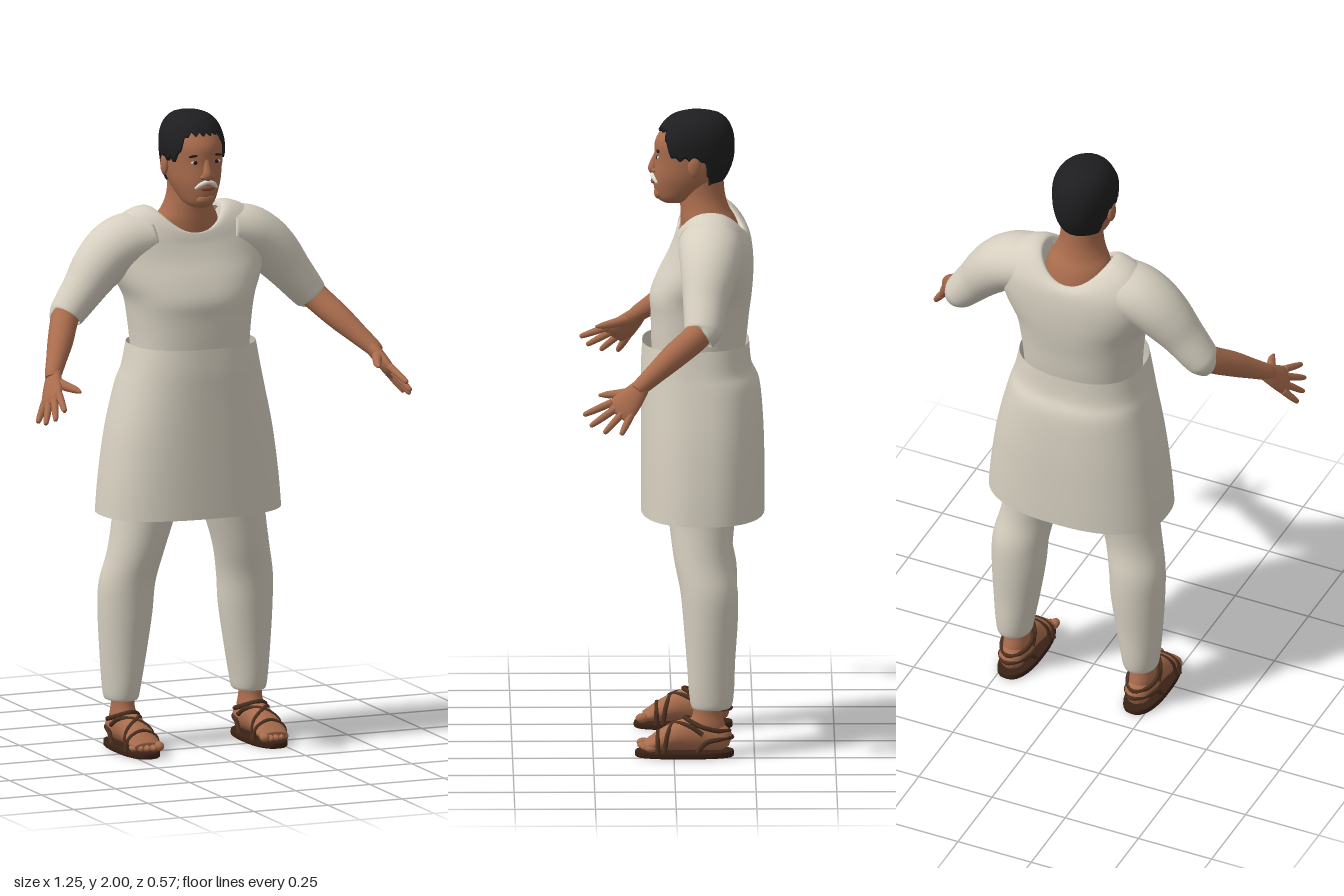
import * as THREE from 'three';

const mat = (name, color, side = THREE.FrontSide) => {
  const m = new THREE.MeshStandardMaterial({ color, side });
  m.name = name;
  return m;
};

// Catmull-Rom interpolation of rows of numbers
function smooth(rows, sub = 5) {
  const out = [];
  const at = i => rows[Math.min(Math.max(i, 0), rows.length - 1)];
  for (let i = 0; i < rows.length - 1; i++) {
    for (let k = 0; k < sub; k++) {
      const t = k / sub, t2 = t * t, t3 = t2 * t;
      out.push(at(i).map((b, c) => {
        const a = at(i - 1)[c], d = at(i + 1)[c], e = at(i + 2)[c];
        return 0.5 * (2 * b + (d - a) * t + (2 * a - 5 * b + 4 * d - e) * t2 + (3 * b - a - 3 * d + e) * t3);
      }));
    }
  }
  out.push(rows[rows.length - 1]);
  return out;
}

// Skin a list of closed rings, optionally capping both ends
function loft(rings, cap = true) {
  const n = rings[0].length, pos = [], idx = [];
  rings.forEach(r => r.forEach(p => pos.push(p.x, p.y, p.z)));
  for (let i = 0; i < rings.length - 1; i++) {
    for (let j = 0; j < n; j++) {
      const a = i * n + j, b = i * n + (j + 1) % n;
      idx.push(a, b, b + n, a, b + n, a + n);
    }
  }
  if (cap) {
    [0, rings.length - 1].forEach((i, end) => {
      const c = new THREE.Vector3();
      rings[i].forEach(p => c.addScaledVector(p, 1 / n));
      const k = pos.length / 3;
      pos.push(c.x, c.y, c.z);
      for (let j = 0; j < n; j++) {
        const a = i * n + j, b = i * n + (j + 1) % n;
        if (end) idx.push(a, b, k); else idx.push(b, a, k);
      }
    });
  }
  const g = new THREE.BufferGeometry();
  g.setAttribute('position', new THREE.Float32BufferAttribute(pos, 3));
  g.setIndex(idx);
  g.computeVertexNormals();
  return g;
}

// Horizontal ring: row = [y, centreX, halfWidth, frontZ, backZ, lift at the sides]
function ringPoint([y, cx, rx, zf, zb, lift = 0], a, p = 1) {
  const f = v => Math.sign(v) * Math.abs(v) ** p;
  const s = f(Math.sin(a)), c = f(Math.cos(a));
  return new THREE.Vector3(cx + rx * s, y + lift * s * s, (zf + zb) / 2 + c * (zf - zb) / 2);
}
const angles = n => Array.from({ length: n }, (_, i) => i / n * Math.PI * 2);
const stack = (rows, p = 1, cap = true, n = 48) =>
  loft(smooth(rows).map(r => angles(n).map(a => ringPoint(r, a, p))), cap);

// Limb along a path: row = [x, y, z, radius, second radius], mirrored by s
function limb(rows, s = 1, ref = [0, 0, 1], n = 20) {
  const up = new THREE.Vector3(ref[0] * s, ref[1], ref[2]);
  const sm = smooth(rows.map(r => [r[0] * s, r[1], r[2], r[3], r[4] ?? r[3]]));
  const pts = sm.map(r => new THREE.Vector3(r[0], r[1], r[2]));
  return loft(sm.map((r, i) => {
    const t = pts[Math.min(i + 1, pts.length - 1)].clone().sub(pts[Math.max(i - 1, 0)]).normalize();
    const u = t.clone().cross(up).normalize(), v = t.clone().cross(u);
    return angles(n).map(a => pts[i].clone().addScaledVector(u, Math.cos(a) * r[3]).addScaledVector(v, Math.sin(a) * r[4]));
  }));
}

// Head profile, chin to crown
const headRows = smooth([
  [1.71, 0, 0.025, 0.03, -0.03], [1.725, 0, 0.047, 0.05, -0.075], [1.76, 0, 0.066, 0.06, -0.13],
  [1.80, 0, 0.08, 0.062, -0.162], [1.85, 0, 0.087, 0.058, -0.18], [1.90, 0, 0.09, 0.057, -0.182],
  [1.935, 0, 0.085, 0.04, -0.176], [1.965, 0, 0.07, 0.018, -0.16], [1.984, 0, 0.046, -0.012, -0.134],
  [1.992, 0, 0.014, -0.055, -0.09]]);
function headAt(y) {
  let i = headRows.findIndex(r => r[0] >= y);
  if (i < 0) i = headRows.length - 1;
  if (i < 1) i = 1;
  const a = headRows[i - 1], b = headRows[i], t = Math.min(1, (y - a[0]) / (b[0] - a[0]));
  return a.map((v, k) => v + (b[k] - v) * t);
}
function faceZ(x, y) {
  const [, , rx, zf, zb] = headAt(y);
  return (zf + zb) / 2 + (zf - zb) / 2 * Math.sqrt(1 - (x / rx) ** 2);
}

export function createModel() {
  const model = new THREE.Group();
  model.name = 'standingMan';
  const linen = mat('linen', 0xd6cfc0, THREE.DoubleSide), skin = mat('skin', 0xa96c4d);
  const hairMat = mat('hair', 0x1e1e20, THREE.DoubleSide), leather = mat('strapLeather', 0x4a2f1e);
  const soleMat = mat('soleLeather', 0x3a2115), white = mat('whiteWhiskers', 0xe2ddd6), lipMat = mat('lips', 0x8a4f3c);
  const add = (name, geo, m, parent = model) => {
    const mesh = new THREE.Mesh(geo, m);
    mesh.name = name;
    parent.add(mesh);
    return mesh;
  };
  const blob = (name, m, p, r, parent = model, rz = 0) => {
    const b = add(name, new THREE.SphereGeometry(1, 20, 14), m, parent);
    b.position.set(...p);
    b.scale.set(...r);
    b.rotation.z = rz;
  };

  // Shirt body with a scooped neck opening
  add('shirt', stack([
    [1.12, 0, 0.18, 0.06, -0.2, 0], [1.27, 0, 0.187, 0.068, -0.225, 0], [1.36, 0, 0.196, 0.07, -0.235, 0],
    [1.42, 0, 0.207, 0.072, -0.243, 0], [1.48, 0, 0.235, 0.05, -0.248, 0], [1.54, 0, 0.255, 0.018, -0.248, 0.01],
    [1.585, 0, 0.25, -0.001, -0.243, 0.04], [1.61, 0, 0.2, -0.008, -0.235, 0.068], [1.622, 0, 0.15, -0.012, -0.222, 0.078],
    [1.622, 0, 0.117, -0.017, -0.212, 0.076], [1.612, 0, 0.108, -0.026, -0.204, 0.07]], 0.85, false), linen);

  // Long flared skirt of the tunic, open at both ends
  add('tunicSkirt', stack([
    [0.74, 0, 0.295, 0.1, -0.283], [0.85, 0, 0.285, 0.1, -0.283], [1.0, 0, 0.263, 0.1, -0.28],
    [1.14, 0, 0.231, 0.1, -0.268], [1.2, 0, 0.215, 0.1, -0.243], [1.275, 0, 0.2, 0.096, -0.235]], 0.82, false, 64), linen);

  // Neck, widening under the collar
  add('neck', stack([
    [1.57, 0, 0.11, -0.03, -0.215], [1.62, 0, 0.106, -0.024, -0.207], [1.66, 0, 0.099, -0.022, -0.193],
    [1.695, 0, 0.08, -0.022, -0.173], [1.74, 0, 0.067, -0.02, -0.16], [1.8, 0, 0.065, -0.02, -0.155]]), skin);

  // Head and hair cap
  const head = new THREE.Group();
  head.name = 'head';
  model.add(head);
  add('face', loft(headRows.map(r => angles(48).map(a => ringPoint(r, a)))), skin, head);
  const hairline = a => {
    const c = Math.cos(a);
    return 1.86 + 0.083 * THREE.MathUtils.smoothstep(c, 0.45, 0.88)
      - 0.095 * THREE.MathUtils.smoothstep(-c, 0.15, 0.75) + 0.006 * Math.sin(a * 24);
  };
  const hairRings = Array.from({ length: 19 }, (_, i) => angles(120).map(a => {
    const t = Math.max(0, i - 1) / 17, low = hairline(a);
    const y = low + (1.992 - low) * Math.sin(t * Math.PI / 2), o = i ? 0.008 : -0.004;
    const [, , rx, zf, zb] = headAt(y);
    return ringPoint([y + 0.008 * t, 0, rx + o, zf + o, zb - o], a);
  }));
  add('hair', loft(hairRings), hairMat, head);

  // Face details
  add('nose', limb([[0, 1.87, 0.048, 0.008], [0, 1.84, 0.058, 0.012], [0, 1.818, 0.064, 0.017, 0.014], [0, 1.808, 0.06, 0.012]]), skin, head);
  blob('lips', lipMat, [0, 1.777, faceZ(0, 1.777)], [0.024, 0.008, 0.008], head);
  blob('chin', skin, [0, 1.74, 0.045], [0.03, 0.02, 0.015], head);
  const whisker = [-0.036, -0.022, 0, 0.022, 0.036].map(x => {
    const y = 1.797 - 16 * x * x;
    return [x, y, faceZ(x, y) + 0.002, Math.abs(x) > 0.03 ? 0.004 : 0.007];
  });
  add('moustache', limb(whisker), white, head);
  for (const s of [1, -1]) {
    blob('nostril', skin, [s * 0.014, 1.812, 0.057], [0.009, 0.008, 0.012], head);
    blob('eye', white, [s * 0.036, 1.858, faceZ(0.036, 1.858)], [0.014, 0.005, 0.004], head);
    blob('iris', hairMat, [s * 0.036, 1.858, faceZ(0.036, 1.858) + 0.002], [0.007, 0.006, 0.004], head);
    blob('eyebrow', hairMat, [s * 0.038, 1.879, faceZ(0.038, 1.879)], [0.02, 0.004, 0.005], head, -s * 0.12);
    blob('ear', skin, [s * 0.091, 1.838, -0.065], [0.011, 0.034, 0.02], head);
  }

  for (const s of [1, -1]) {
    const side = s > 0 ? 'left' : 'right';
    const arm = new THREE.Group(), leg = new THREE.Group(), foot = new THREE.Group();
    arm.name = side + 'Arm';
    leg.name = side + 'Leg';
    foot.name = side + 'Foot';
    model.add(arm, leg, foot);

    // Half-length sleeve
    add('sleeve', limb([
      [0.13, 1.605, -0.115, 0.08, 0.1], [0.2, 1.592, -0.115, 0.088, 0.1], [0.255, 1.563, -0.112, 0.086, 0.094],
      [0.305, 1.515, -0.105, 0.079, 0.083], [0.35, 1.46, -0.097, 0.067, 0.07], [0.395, 1.405, -0.092, 0.058, 0.062],
      [0.415, 1.381, -0.088, 0.052, 0.057], [0.418, 1.377, -0.086, 0.042, 0.045]], s, [0, 0, 1], 32), linen, arm);

    // Forearm, palm and fingers
    add('forearm', limb([
      [0.385, 1.42, -0.1, 0.044], [0.425, 1.375, -0.07, 0.043], [0.47, 1.322, 0, 0.04],
      [0.51, 1.275, 0.06, 0.032], [0.54, 1.24, 0.105, 0.026], [0.548, 1.228, 0.118, 0.022]], s), skin, arm);
    const w = [-0.32, 0.47, 0.82];
    add('palm', limb([
      [0.535, 1.243, 0.1, 0.022, 0.026], [0.553, 1.21, 0.13, 0.02, 0.038],
      [0.57, 1.177, 0.163, 0.017, 0.046], [0.579, 1.16, 0.18, 0.008, 0.036]], s, w), skin, arm);
    const tips = [[0.578, 1.158, 0.284], [0.6, 1.127, 0.263], [0.615, 1.108, 0.22], [0.619, 1.104, 0.167]];
    tips.forEach((tip, i) => {
      const k = 0.036 - i * 0.024, base = [0.57, 1.177, 0.165].map((v, c) => v + w[c] * k);
      const at = (t, r) => [...base.map((v, c) => v + (tip[c] - v) * t), r];
      add('finger', limb([at(0, 0.012), at(0.5, 0.011), at(0.92, 0.008), at(1, 0.003)], s, w, 10), skin, arm);
    });
    add('thumb', limb([
      [0.545, 1.222, 0.13, 0.018], [0.525, 1.213, 0.172, 0.015], [0.51, 1.208, 0.21, 0.011],
      [0.504, 1.205, 0.236, 0.004]], s, [0, 1, 0], 12), skin, arm);

    // Loose trouser leg gathered at the ankle
    add('trouserLeg', stack([
      [0.152, 0.215, 0.038, -0.065, -0.155], [0.155, 0.215, 0.052, -0.055, -0.177], [0.2, 0.214, 0.06, -0.047, -0.186],
      [0.3, 0.209, 0.073, -0.04, -0.19], [0.42, 0.203, 0.085, -0.03, -0.198], [0.52, 0.198, 0.088, -0.02, -0.198],
      [0.62, 0.177, 0.088, 0, -0.182], [0.74, 0.15, 0.098, 0.016, -0.19], [0.9, 0.122, 0.115, 0.04, -0.21],
      [1.15, 0.095, 0.1, 0.05, -0.21]].map(r => (r[1] *= s, r))), linen, leg);

    // Bare ankle and foot
    add('ankle', stack([
      [0.05, s * 0.215, 0.04, -0.03, -0.165], [0.1, s * 0.215, 0.04, -0.045, -0.158],
      [0.14, s * 0.215, 0.035, -0.06, -0.147], [0.2, s * 0.215, 0.036, -0.062, -0.15]], 1, true, 24), skin, foot);
    add('footBody', limb([
      [0.215, 0.05, -0.175, 0.018, 0.02], [0.215, 0.057, -0.15, 0.04, 0.04], [0.215, 0.07, -0.09, 0.043, 0.052],
      [0.215, 0.067, -0.03, 0.043, 0.049], [0.215, 0.054, 0.025, 0.048, 0.036], [0.215, 0.041, 0.065, 0.05, 0.023],
      [0.215, 0.034, 0.09, 0.042, 0.014]], s, [0, 1, 0]), skin, foot);
    for (let i = 0; i < 5; i++) {
      const r = i ? 0.0105 : 0.015;
      blob('toe', skin, [s * (0.178 + i * 0.0195), 0.02 + r, 0.094 - i * i * 0.0015], [r, r, 0.021], foot);
    }

    // Sandal sole and straps
    add('sole', stack([
      [0, s * 0.215, 0.056, 0.116, -0.183], [0.004, s * 0.215, 0.06, 0.12, -0.186],
      [0.016, s * 0.215, 0.06, 0.12, -0.186], [0.02, s * 0.215, 0.057, 0.117, -0.184]], 0.8), soleMat, foot);
    const strap = (name, pts, closed = false) => add(name, new THREE.TubeGeometry(new THREE.CatmullRomCurve3(
      pts.map(p => new THREE.Vector3(p[0] * s, p[1], p[2])), closed), 40, 0.0075, 8, closed), leather, foot);
    strap('toeStrap', [[0.161, 0.015, 0.05], [0.17, 0.055, 0.05], [0.215, 0.077, 0.048], [0.26, 0.055, 0.05], [0.269, 0.015, 0.05]]);
    strap('crossStrap', [[0.164, 0.018, 0.03], [0.175, 0.073, 0.02], [0.215, 0.103, 0], [0.25, 0.1, -0.05], [0.261, 0.075, -0.09]]);
    strap('crossStrap', [[0.266, 0.018, 0.03], [0.255, 0.073, 0.02], [0.215, 0.103, 0], [0.18, 0.1, -0.05], [0.169, 0.075, -0.09]]);
    strap('ankleStrap', [[0.215, 0.122, -0.034], [0.258, 0.1, -0.085], [0.25, 0.085, -0.14], [0.215, 0.08, -0.171],
      [0.18, 0.085, -0.14], [0.172, 0.1, -0.085]], true);
    strap('heelStrap', [[0.266, 0.018, -0.07], [0.262, 0.05, -0.1], [0.25, 0.06, -0.15], [0.215, 0.06, -0.18],
      [0.18, 0.06, -0.15], [0.168, 0.05, -0.1], [0.164, 0.018, -0.07]]);
  }
  return model;
}
